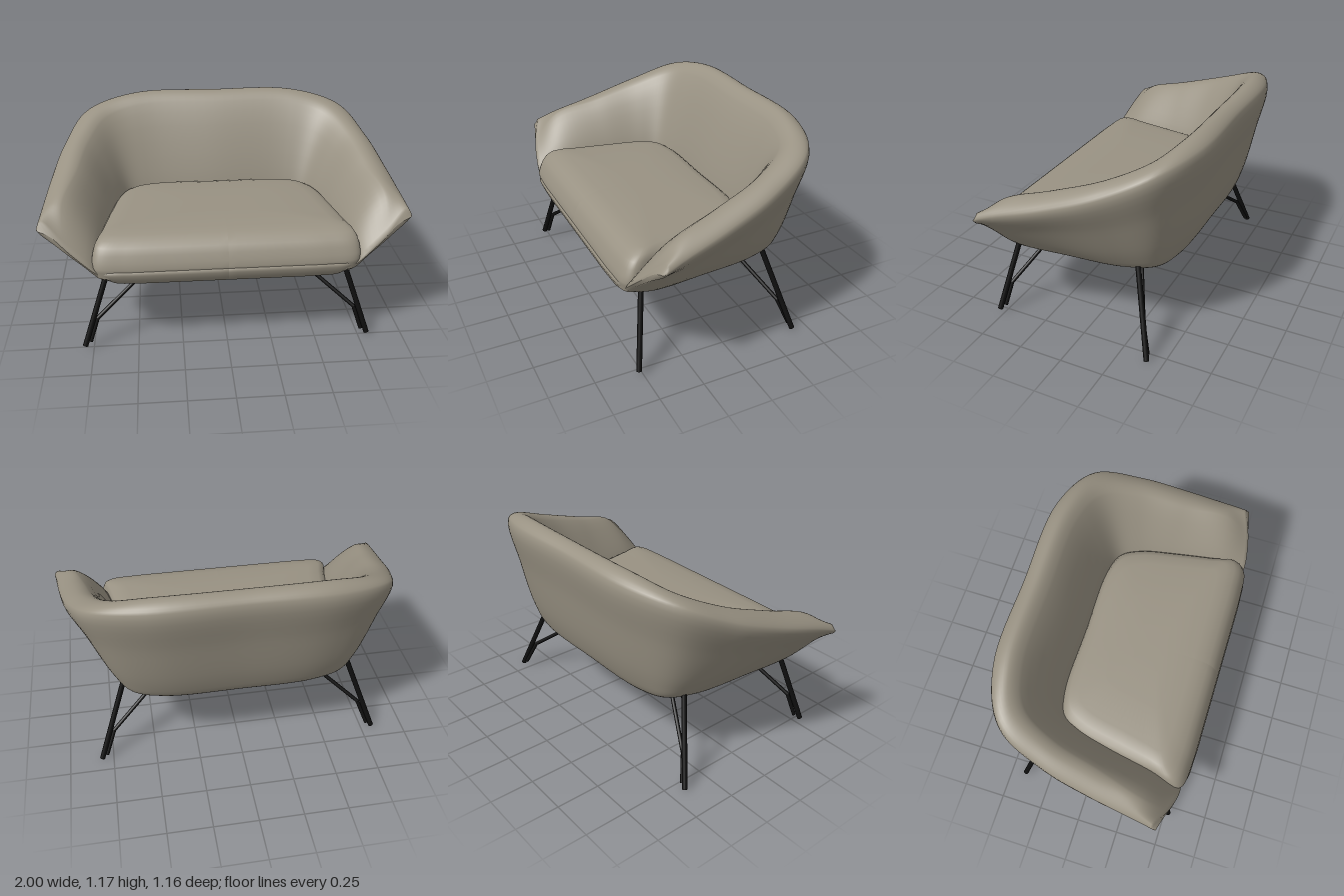
import * as THREE from 'three';

const V = (p) => new THREE.Vector3(p[0], p[1], p[2]);

// Smooth skin over rows of points; all rows share the same length
function skin(rows) {
  const w = rows[0].length, pos = [], idx = [];
  rows.forEach((row) => row.forEach((p) => pos.push(p.x, p.y, p.z)));
  for (let r = 0; r < rows.length - 1; r++) {
    for (let c = 0; c < w - 1; c++) {
      const a = r * w + c, b = a + 1, d = a + w, e = d + 1;
      idx.push(a, b, e, a, e, d);
    }
  }
  const g = new THREE.BufferGeometry();
  g.setAttribute('position', new THREE.Float32BufferAttribute(pos, 3));
  g.setIndex(idx);
  g.computeVertexNormals();
  return g;
}

// Half a curve (from +x to the middle) mirrored to the other side
function mirrored(half) {
  const other = half.slice(0, -1).reverse().map(([x, y, z]) => [-x, y, z]);
  return [...half, ...other].map(V);
}

// Points between two curves, pushed sideways and up, or forward at the arm fronts
function between(from, to, t, tEnd, side, up) {
  return from.map((a, i) => {
    const b = to[i];
    if (i === 0 || i === from.length - 1) {
      return a.clone().lerp(b, tEnd).add(new THREE.Vector3(0, 0, .02));
    }
    const push = new THREE.Vector3(b.x - a.x, 0, b.z - a.z).setLength(side);
    push.y = up;
    return a.clone().lerp(b, t).add(push);
  });
}

const scaled = (curve, sx, y, sz) => curve.map((p) => new THREE.Vector3(p.x * sx, y, p.z * sz));

// Back and arms: four guide curves run from the arm front to the middle of the back
function shellGeometry() {
  const lower = mirrored([[.66, .45, .53], [.69, .44, .42], [.68, .44, .1], [.65, .44, -.2], [.59, .45, -.36], [.42, .44, -.41], [0, .44, -.42]]);
  const seam = mirrored([[1, .735, .462], [.987, .77, .36], [.955, .85, .1], [.9, .95, -.18], [.78, 1.07, -.435], [.5, 1.12, -.562], [0, 1.13, -.572]]);
  const crest = mirrored([[.978, .77, .458], [.945, .822, .35], [.88, .91, .1], [.82, 1.01, -.18], [.7, 1.11, -.4], [.47, 1.165, -.488], [0, 1.17, -.5]]);
  const seat = mirrored([[.72, .53, .545], [.69, .62, .38], [.64, .64, .1], [.59, .65, -.1], [.53, .66, -.21], [.4, .66, -.25], [0, .66, -.25]]);
  const guides = [
    scaled(lower, .76, .42, .78),
    lower,
    between(lower, seam, .17, .34, .03, 0),
    between(lower, seam, .6, .7, .025, 0),
    seam,
    crest,
    between(crest, seat, .2, .45, .025, .045),
    seat,
    scaled(seat, .96, .47, .95),
  ];

  const across = 96, along = 48;
  const rails = guides.map((points) => {
    const curve = new THREE.CatmullRomCurve3(points);
    return Array.from({ length: across + 1 }, (_, i) => curve.getPoint(i / across));
  });
  const columns = [];
  for (let i = 0; i <= across; i++) {
    const profile = new THREE.CatmullRomCurve3(rails.map((r) => r[i]), false, 'centripetal');
    columns.push(Array.from({ length: along + 1 }, (_, j) => profile.getPoint(j / along)));
  }
  // Close each arm front by folding its profile onto its middle line, slightly rounded
  const fold = (col) => col.map((p, j) => {
    const q = p.clone().lerp(col[along - j], .5);
    q.z += .012 * Math.sin(Math.PI * j / along);
    return q;
  });
  columns.unshift(fold(columns[0]));
  columns.push(fold(columns[columns.length - 1]));
  return skin(columns[0].map((_, j) => columns.map((col) => col[j])));
}

// Closed plan outline repeated at [scale, height, front setback] steps
function padGeometry(half, steps) {
  const right = half.map(([x, z]) => [x, 0, z]);
  const left = half.slice(1, -1).reverse().map(([x, z]) => [-x, 0, z]);
  const outline = new THREE.CatmullRomCurve3([...right, ...left].map(V), true, 'centripetal').getPoints(120);
  const zc = .15;
  return skin(steps.map(([s, y, setback = 0]) => outline.map((p) => {
    const dz = p.z - zc;
    return new THREE.Vector3(p.x * s, y, zc + dz * s - setback * Math.max(0, dz / .42));
  })));
}

export function createModel() {
  const group = new THREE.Group();
  const fabric = new THREE.MeshStandardMaterial({ color: 0x999283, side: THREE.DoubleSide });
  fabric.name = 'taupe fabric';
  const metal = new THREE.MeshStandardMaterial({ color: 0x0e0e0e });
  metal.name = 'black metal';

  const add = (parent, name, geometry, material) => {
    const mesh = new THREE.Mesh(geometry, material);
    mesh.name = name;
    parent.add(mesh);
    return mesh;
  };

  // Upholstered back and arms
  add(group, 'backAndArms', shellGeometry(), fabric);

  // Seat base with its front lip
  add(group, 'seatBase', padGeometry(
    [[0, .578], [.3, .578], [.52, .576], [.66, .56], [.715, .5], [.7, .2], [.66, -.15], [.57, -.32], [.4, -.38], [0, -.39]],
    [[0, .42], [.5, .42], [.85, .42], [.92, .43], [.97, .46], [1, .495], [.995, .512], [.97, .518], [.8, .52]],
  ), fabric);

  // Seat cushion, sloping down to the front
  add(group, 'seatCushion', padGeometry(
    [[0, .572], [.3, .572], [.55, .57], [.69, .555], [.722, .52], [.7, .38], [.655, .1], [.61, -.1], [.545, -.21], [.4, -.257], [0, -.26]],
    [[.98, .47], [.995, .51], [1, .53], [1, .56, .01], [.99, .6, .02], [.975, .635, .035], [.95, .66, .055], [.9, .677, .075], [.8, .688, .08], [.5, .695, .05], [.2, .696], [0, .696]],
  ), fabric);

  // Rod between two points
  const rod = (parent, name, a, b, radius) => {
    const from = V(a), dir = V(b).sub(from);
    const mesh = add(parent, name, new THREE.CylinderGeometry(radius, radius, dir.length(), 16), metal);
    mesh.position.copy(from).addScaledVector(dir, .5);
    mesh.quaternion.setFromUnitVectors(new THREE.Vector3(0, 1, 0), dir.normalize());
  };

  // Splayed legs, each with a bent brace running down beside it
  const legs = [
    { name: 'FrontLeg', top: [.65, .46, .44], foot: [.795, .03, .522], brace: [[.39, .44, .32], [.72, .18, .478], [.765, .045, .503]] },
    { name: 'BackLeg', top: [.65, .47, -.285], foot: [.815, .01, -.412], brace: [[.39, .44, -.175], [.73, .17, -.355], [.785, .03, -.405]] },
  ];
  for (const [side, s] of [['left', 1], ['right', -1]]) {
    for (const leg of legs) {
      const g = new THREE.Group();
      g.name = side + leg.name;
      const flip = ([x, y, z]) => [x * s, y, z];
      const [start, bend, end] = leg.brace.map(flip);
      rod(g, 'leg', flip(leg.top), flip(leg.foot), .015);
      rod(g, 'brace', start, bend, .011);
      rod(g, 'braceFoot', bend, end, .011);
      add(g, 'braceBend', new THREE.SphereGeometry(.011, 12, 8), metal).position.set(...bend);
      group.add(g);
    }
  }
  return group;
}
